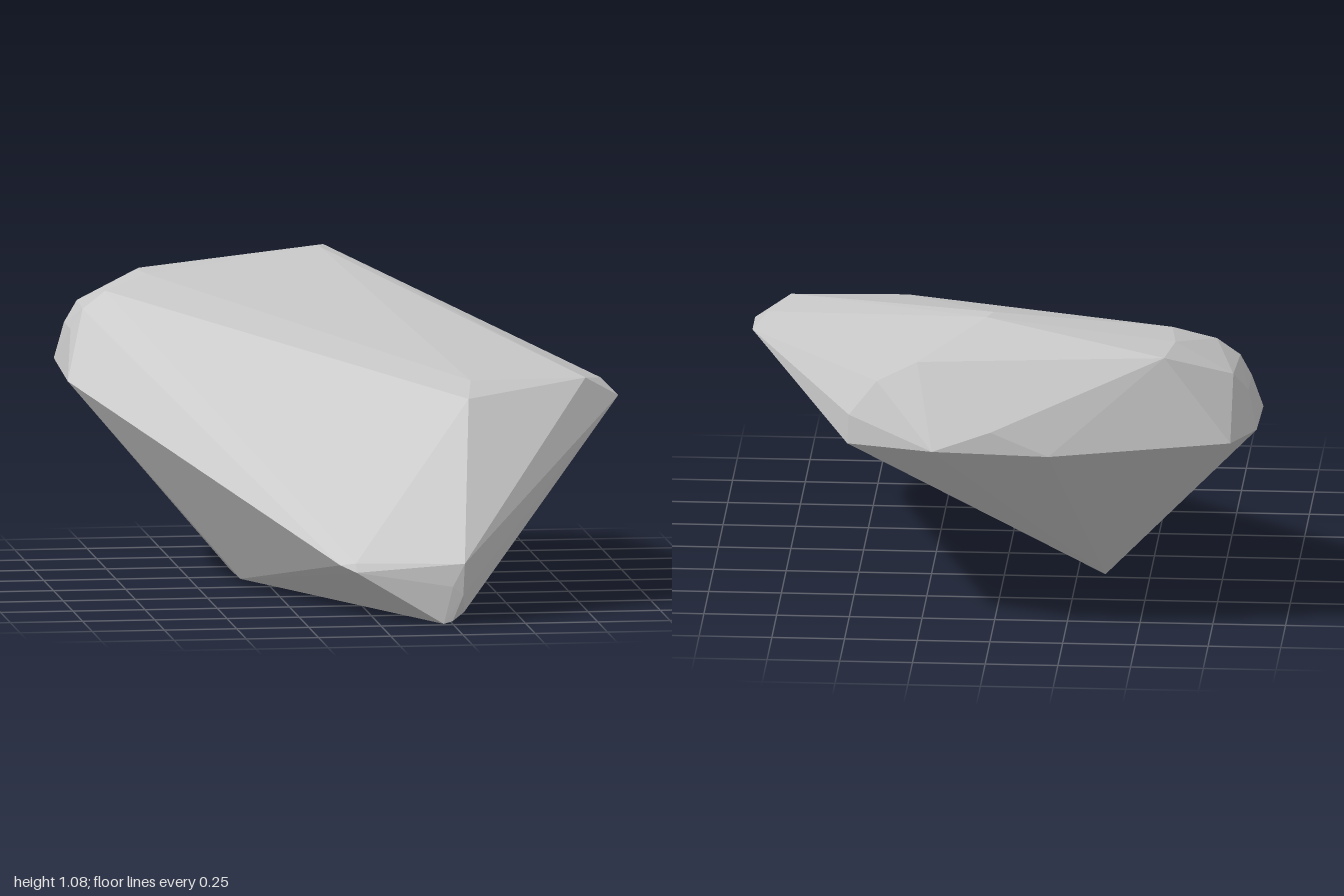
import * as THREE from 'three';
import { ConvexGeometry } from 'three/addons/geometries/ConvexGeometry.js';

// Corner points of the rock, grouped by region
const base = [[-0.35, 0.02, -0.28], [-0.345, 0.02, -0.06], [-0.08, 0, 0.25], [0.22, 0, 0.98]];
const frontTip = [
  [0.25, 0.01, 0.985], [0.29, 0.04, 0.98], [0.285, 0.1, 0.998], [0.25, 0.13, 0.995],
  [0.29, 0.21, 1], [-0.07, 0.17, 0.89], [-0.12, 0.19, 0.84], [-0.07, 0.2, 0.875],
];
const rightShoulder = [
  [0.36, 0.72, 0.575], [0.38, 0.77, 0.48], [0.78, 0.77, 0.46],
  [0.85, 0.75, 0.32], [0.9, 0.7, 0.41], [0.9, 0.7, 0.27],
];
const crest = [
  [0.01, 1.08, -0.66], [0.03, 1.08, -0.72],
  [-0.6, 1.01, -0.57], [-0.62, 1.005, -0.72], [-0.59, 0.99, -0.86],
];
const leftRim = [
  [-0.9, 0.67, -0.38], [-0.87, 0.83, -0.53], [-0.83, 0.9, -0.52], [-0.75, 0.96, -0.53],
  [-0.9, 0.7, -0.74], [-0.87, 0.83, -0.7], [-0.82, 0.9, -0.74], [-0.82, 0.7, -0.9],
];
const back = [
  [-0.2, 0.67, -1], [0, 0.75, -0.99], [0.2, 0.68, -1],
  [0.26, 0.955, -0.85], [0.4, 0.88, -0.84], [0.495, 0.76, -0.85], [0.5, 0.66, -0.86],
];

export function createModel() {
  const group = new THREE.Group();
  group.name = 'rock';

  // Faceted boulder wrapped tightly around the corners
  const stone = new THREE.MeshStandardMaterial({ color: 0xc5c5c5 });
  stone.name = 'pale grey stone';
  const points = [base, frontTip, rightShoulder, crest, leftRim, back]
    .flat()
    .map((p) => new THREE.Vector3(...p));
  const boulder = new THREE.Mesh(new ConvexGeometry(points), stone);
  boulder.name = 'boulder';
  group.add(boulder);

  return group;
}
